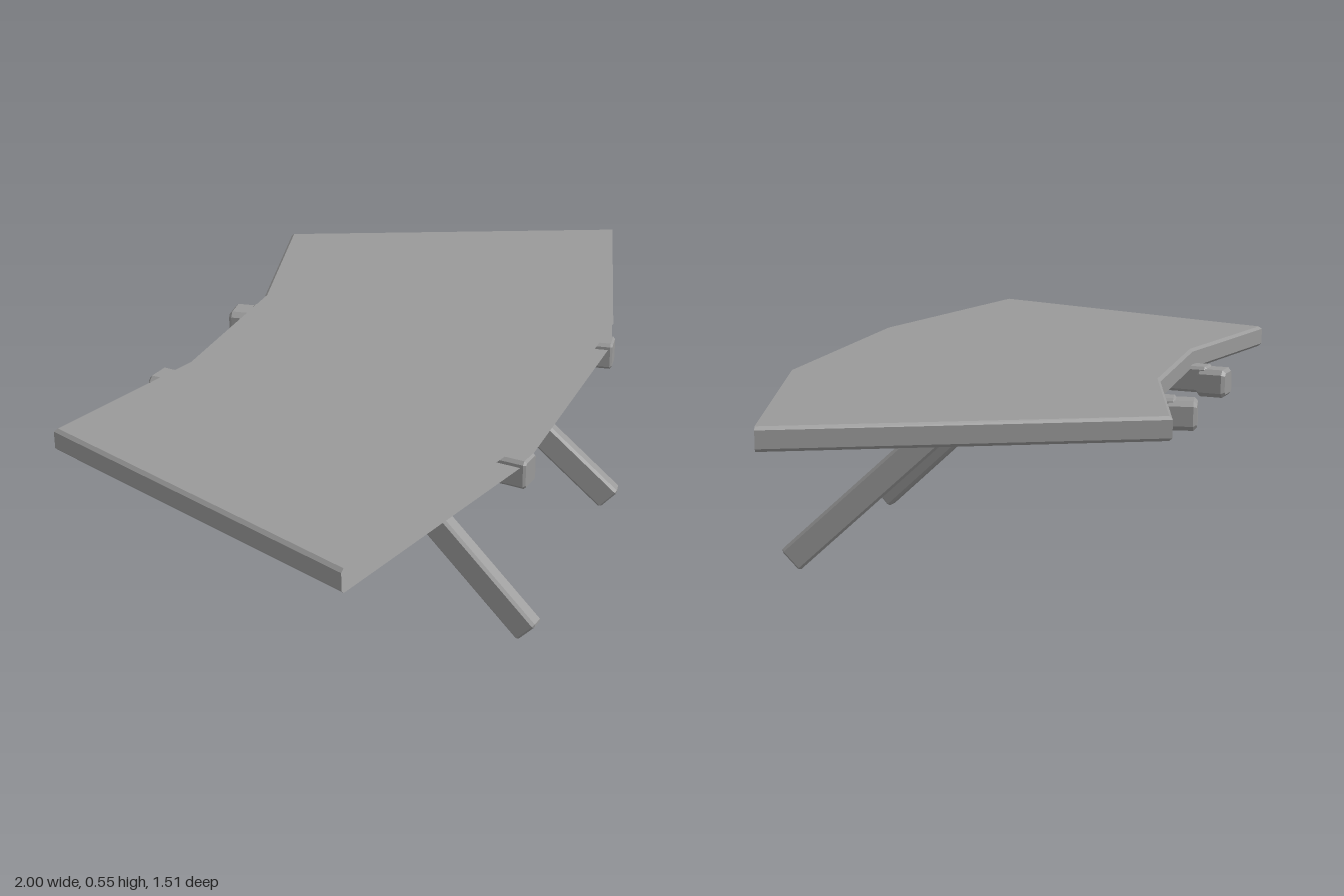
import * as THREE from 'three';

const material = new THREE.MeshStandardMaterial({ color: 0x999999, flatShading: true });
const shellMaterial = material.clone();
shellMaterial.side = THREE.DoubleSide;

// Bar with chamfered edges, running from z = 0 back to z = -length
function bar(name, width, height, length, c) {
  const w = width / 2, h = height / 2, bevel = c * 0.7;
  const outline = [
    [-w + c, -h], [w - c, -h], [w, -h + c], [w, h - c],
    [w - c, h], [-w + c, h], [-w, h - c], [-w, -h + c],
  ];
  const shape = new THREE.Shape(outline.map(([x, y]) => new THREE.Vector2(x, y)));
  const geometry = new THREE.ExtrudeGeometry(shape, {
    depth: length - 2 * bevel, bevelEnabled: true, bevelThickness: bevel,
    bevelSize: bevel, bevelOffset: -bevel, bevelSegments: 1,
  });
  geometry.translate(0, 0, bevel - length);
  const mesh = new THREE.Mesh(geometry, material);
  mesh.name = name;
  return mesh;
}

// Bracket: level beam, end block at the back, slanted strut under the front
function bracket(name, x, z, angle) {
  const group = new THREE.Group();
  group.name = name;

  const beam = bar('beam', 0.066, 0.074, 1.02, 0.008);
  beam.position.y = 0.466;

  const block = bar('endBlock', 0.083, 0.078, 0.083, 0.013);
  block.position.set(0, 0.458, -0.993);

  const strut = bar('strut', 0.045, 0.074, 0.65, 0.007);
  strut.position.set(0, 0.025, 0.01);
  strut.rotation.x = 0.744;

  group.add(beam, block, strut);
  group.position.set(x, 0, z);
  group.rotation.y = angle;
  return group;
}

// Deck: thin hollow shell, open along the front, bevelled along ends and back
function deckShell() {
  // Outline as [x, z, inset direction x, inset direction z]
  const outline = [
    [-1, 0.753, 1, -0.14], [-0.28, 0.655, 0, 0], [0.42, 0.375, 0, 0], [1, -0.073, -0.8, 0.63],
    [0.31, -0.755, -0.1, 1.33], [-0.08, -0.46, 0.5, 0.87], [-0.52, -0.275, 0.26, 0.97],
    [-1, -0.215, 1, 0.89],
  ];
  const bevel = 0.008, bottom = 0.487, top = 0.547;
  const ring = (y, inset) => outline.map(([x, z, dx, dz]) => [x + dx * inset, y, z + dz * inset]);
  const rings = [
    ring(bottom, bevel), ring(bottom + bevel, 0), ring(top - bevel, 0), ring(top, bevel),
  ];
  const positions = [];
  const quad = (a, b, c, d) => positions.push(...a, ...b, ...c, ...a, ...c, ...d);

  // Top and bottom plates, three bays each
  const [floor, , , roof] = rings;
  for (let i = 0; i < 3; i++) {
    quad(roof[i], roof[i + 1], roof[6 - i], roof[7 - i]);
    quad(floor[7 - i], floor[6 - i], floor[i + 1], floor[i]);
  }
  // Walls along both ends and the back
  for (let k = 0; k < 3; k++) {
    const low = rings[k], high = rings[k + 1];
    for (let i = 3; i < 8; i++) {
      const j = (i + 1) % 8;
      quad(low[i], low[j], high[j], high[i]);
    }
  }
  const geometry = new THREE.BufferGeometry();
  geometry.setAttribute('position', new THREE.Float32BufferAttribute(positions, 3));
  geometry.computeVertexNormals();
  const mesh = new THREE.Mesh(geometry, shellMaterial);
  mesh.name = 'deck';
  return mesh;
}

export function createModel() {
  const model = new THREE.Group();
  model.name = 'curvedPlatform';
  model.add(deckShell());

  // Supports follow the bend of the deck
  model.add(bracket('rightBracket', -0.27, 0.662, Math.PI / 12));
  model.add(bracket('leftBracket', 0.415, 0.384, Math.PI / 6));
  return model;
}
